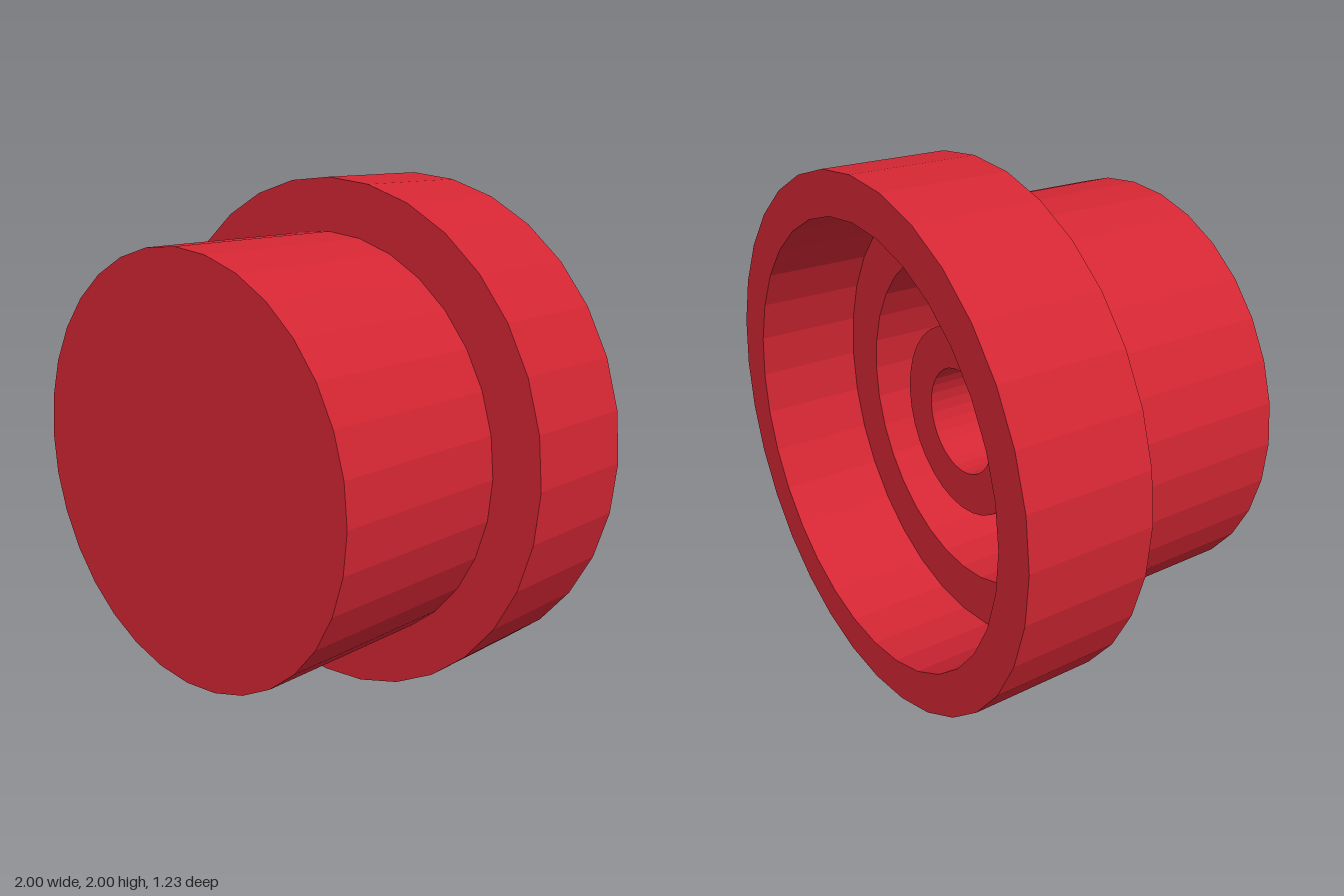
import * as THREE from 'three';

const SIDES = 32;

// Depths along z, front to back
const FRONT = 0.613, FLOOR = 0.475, SHOULDER = -0.125, LEDGE = -0.2, BACK = -0.613;
// Radii
const FLANGE = 1, RECESS = 0.84, BODY = 0.8, CAVITY = 0.64, BOSS = 0.37, BORE = 0.208;

export function createModel() {
  const group = new THREE.Group();
  group.name = 'cap';
  const material = new THREE.MeshStandardMaterial({ color: 0xd32633, flatShading: true });

  // Turns a [radius, z] profile around the z axis
  const turn = (name, profile) => {
    const points = profile.map(([r, z]) => new THREE.Vector2(r, z));
    const mesh = new THREE.Mesh(new THREE.LatheGeometry(points, SIDES).rotateX(Math.PI / 2), material);
    mesh.name = name;
    mesh.position.y = 1;
    group.add(mesh);
  };

  // Narrow front drum with a closed face
  turn('body', [[BODY, SHOULDER], [BODY, FRONT], [0, FRONT]]);

  // Wide rear ring with its recess and inner ledge
  turn('flange', [
    [CAVITY, LEDGE], [RECESS, LEDGE], [RECESS, BACK],
    [FLANGE, BACK], [FLANGE, SHOULDER], [BODY, SHOULDER],
  ]);

  // Hollow inside the drum, around the boss
  turn('cavity', [[BOSS, FLOOR], [CAVITY, FLOOR], [CAVITY, LEDGE]]);

  // Central tube with a blind bore
  turn('boss', [[0, FLOOR], [BORE, FLOOR], [BORE, LEDGE], [BOSS, LEDGE], [BOSS, FLOOR]]);

  return group;
}
